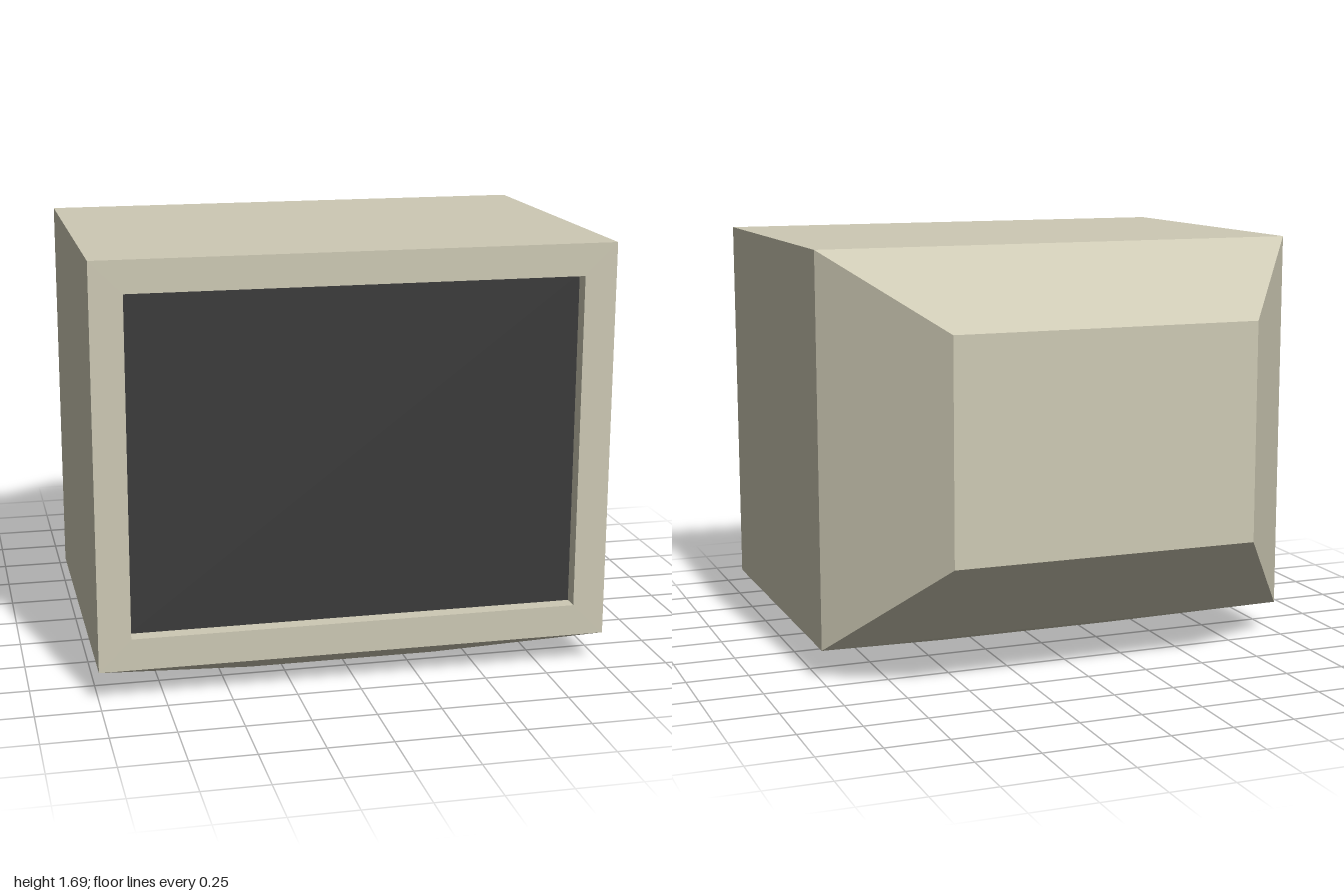
import * as THREE from 'three';

// Rectangular cross-sections, counter-clockwise seen from +z or from +y
const zRing = (x, y0, y1, z) => [[-x, y0, z], [x, y0, z], [x, y1, z], [-x, y1, z]];
const yRing = (x, z0, z1, y) => [[-x, y, z0], [x, y, z0], [x, y, z1], [-x, y, z1]];

// Walls joining two rings; sides lists which of the four walls to make
function bridge(a, b, sides = [0, 1, 2, 3]) {
  return sides.map((i) => {
    const j = (i + 1) % 4;
    return [a[i], b[i], b[j], a[j]];
  });
}

function quadMesh(name, quads, material) {
  const positions = quads.flatMap(([a, b, c, d]) => [a, b, c, a, c, d]).flat();
  const geometry = new THREE.BufferGeometry();
  geometry.setAttribute('position', new THREE.Float32BufferAttribute(positions, 3));
  geometry.computeVertexNormals();
  const mesh = new THREE.Mesh(geometry, material);
  mesh.name = name;
  return mesh;
}

export function createModel() {
  const beige = new THREE.MeshStandardMaterial({ color: 0xcdc9b4, side: THREE.DoubleSide });
  beige.name = 'beige plastic';
  const dark = new THREE.MeshStandardMaterial({ color: 0x3a3a3a, side: THREE.DoubleSide });
  dark.name = 'dark glass';

  const glass = zRing(0.875, 0.25, 1.565, 0.875);
  const opening = zRing(0.875, 0.25, 1.565, 0.937);
  const front = zRing(1, 0.126, 1.69, 0.937);
  const shoulder = zRing(1, 0.126, 1.69, -0.437);
  const back = zRing(0.622, 0.533, 1.408, -0.937);
  const underside = yRing(1, 0.937, -0.437, 0.126);
  const baseHole = yRing(0.375, 0.687, -0.06, 0);

  const group = new THREE.Group();
  group.name = 'monitor';
  group.add(
    quadMesh('screen', [glass], dark),
    quadMesh('screenRecess', bridge(glass, opening), beige),
    quadMesh('frontFrame', bridge(opening, front), beige),
    // Top and side walls; the underside stays open into the base
    quadMesh('casing', bridge(front, shoulder, [1, 2, 3]), beige),
    quadMesh('rearTaper', bridge(shoulder, back), beige),
    quadMesh('backPanel', [[...back].reverse()], beige),
    // Sloped skirt around an open bottom
    quadMesh('base', bridge(underside, baseHole), beige),
  );
  return group;
}
